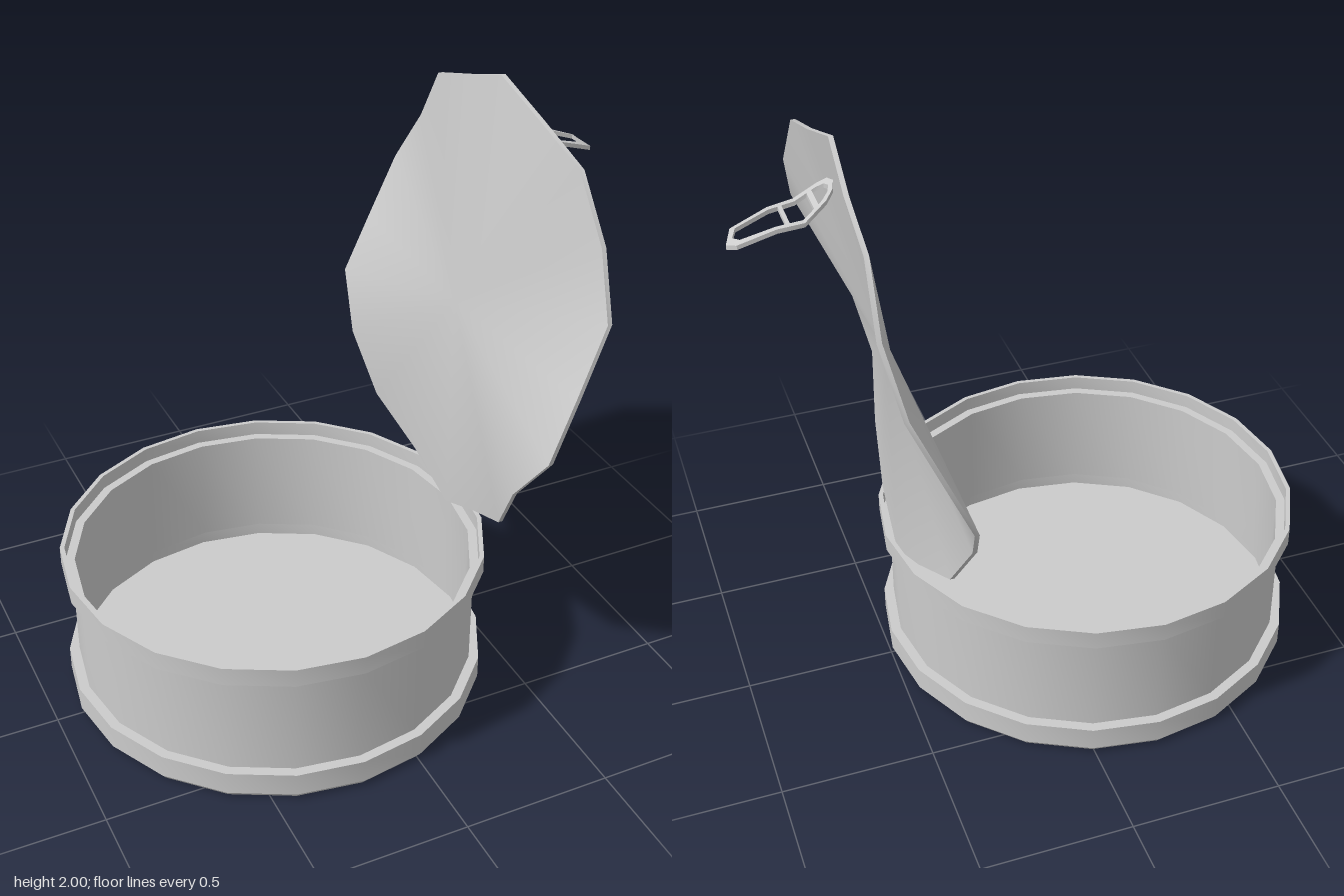
import * as THREE from 'three';
import { toCreasedNormals } from 'three/addons/utils/BufferGeometryUtils.js';

const material = new THREE.MeshStandardMaterial({ color: 0xcccccc, side: THREE.DoubleSide });

function addMesh(group, name, geometry, crease) {
  const mesh = new THREE.Mesh(toCreasedNormals(geometry, crease), material);
  mesh.name = name;
  group.add(mesh);
  return mesh;
}

// Collects triangles and quads given as [x, y, z] corners
function facesToGeometry(faces) {
  const pos = [];
  for (const f of faces) {
    for (let i = 1; i < f.length - 1; i++) pos.push(...f[0], ...f[i], ...f[i + 1]);
  }
  const g = new THREE.BufferGeometry();
  g.setAttribute('position', new THREE.Float32BufferAttribute(pos, 3));
  return g;
}

// Twenty-sided can: thin shell with a swollen rim at the top and bottom
function canGeometry() {
  const profile = [
    [0, 0], [0.69, 0], [0.705, 0.02], [0.705, 0.1], [0.672, 0.1],
    [0.672, 0.462], [0.705, 0.462], [0.705, 0.525], [0.69, 0.525],
    [0.69, 0.475], [0.66, 0.475], [0.66, 0.09], [0.69, 0.09],
    [0.69, 0.025], [0, 0.025],
  ].map(([r, y]) => new THREE.Vector2(r, y));
  return new THREE.LatheGeometry(profile, 20);
}

// Twisted lid: a fan from the centre to a rim that bends out at the top, in at the bottom
function lidGeometry() {
  const half = [
    [0.575, 2.0, 0], [0.59, 1.925, 0.215], [0.595, 1.855, 0.435], [0.605, 1.66, 0.565],
    [0.57, 1.47, 0.68], [0.475, 1.25, 0.695], [0.388, 1.05, 0.705], [0.355, 0.87, 0.57],
    [0.39, 0.67, 0.44], [0.43, 0.56, 0.215], [0.445, 0.46, 0],
  ];
  const rim = [...half, ...half.slice(1, -1).reverse().map(([x, y, z]) => [x, y, -z])];
  const out = ([x, y, z]) => [x + 0.015, y, z];
  const centre = [0.445, 1.25, 0];
  const faces = [];
  rim.forEach((a, k) => {
    const b = rim[(k + 1) % rim.length];
    faces.push([out(centre), out(a), out(b)], [centre, b, a], [a, b, out(b), out(a)]);
  });
  return facesToGeometry(faces);
}

// Height of the bent pull tab along x
const bend = [[0.58, 1.86], [0.62, 1.825], [0.69, 1.775], [0.77, 1.765], [0.88, 1.73], [0.91, 1.7]];
function tabHeight(x) {
  let i = 0;
  while (i < bend.length - 2 && x > bend[i + 1][0]) i++;
  const [[x0, y0], [x1, y1]] = [bend[i], bend[i + 1]];
  return y0 + ((x - x0) / (x1 - x0)) * (y1 - y0);
}

// Pull tab frame: matching outer and inner loops
function tabGeometry() {
  const mirrorLoop = (h) => [...h, ...h.slice(1, -1).reverse().map(([x, z]) => [x, -z])];
  const outer = mirrorLoop([[0.585, 0], [0.595, 0.035], [0.62, 0.057], [0.69, 0.077], [0.77, 0.069], [0.885, 0.052], [0.908, 0]]);
  const inner = mirrorLoop([[0.6, 0], [0.608, 0.025], [0.63, 0.042], [0.69, 0.058], [0.77, 0.052], [0.872, 0.035], [0.888, 0]]);
  const at = ([x, z], dy) => [x, tabHeight(x) + dy, z];
  const t = 0.007;
  const faces = [];
  outer.forEach((a, k) => {
    const n = (k + 1) % outer.length;
    const b = outer[n], c = inner[n], d = inner[k];
    faces.push(
      [at(a, t), at(b, t), at(c, t), at(d, t)],
      [at(d, -t), at(c, -t), at(b, -t), at(a, -t)],
      [at(a, -t), at(b, -t), at(b, t), at(a, t)],
      [at(d, t), at(c, t), at(c, -t), at(d, -t)],
    );
  });
  return facesToGeometry(faces);
}

// Cross bar that follows the bend of the tab
function barGeometry(x, width, length) {
  const g = new THREE.BoxGeometry(width, 0.014, length).translate(x, 0, 0);
  const p = g.attributes.position;
  for (let i = 0; i < p.count; i++) p.setY(i, p.getY(i) + tabHeight(p.getX(i)));
  return g;
}

export function createModel() {
  const model = new THREE.Group();
  model.name = 'openTin';

  addMesh(model, 'can', canGeometry(), 0.5).position.x = -0.21;
  addMesh(model, 'lid', lidGeometry(), 0.8);

  const tab = new THREE.Group();
  tab.name = 'pullTab';
  addMesh(tab, 'tabFrame', tabGeometry(), 0.4);
  addMesh(tab, 'rearBar', barGeometry(0.648, 0.014, 0.11), 0.4);
  addMesh(tab, 'frontBar', barGeometry(0.735, 0.012, 0.12), 0.4);
  model.add(tab);

  return model;
}
